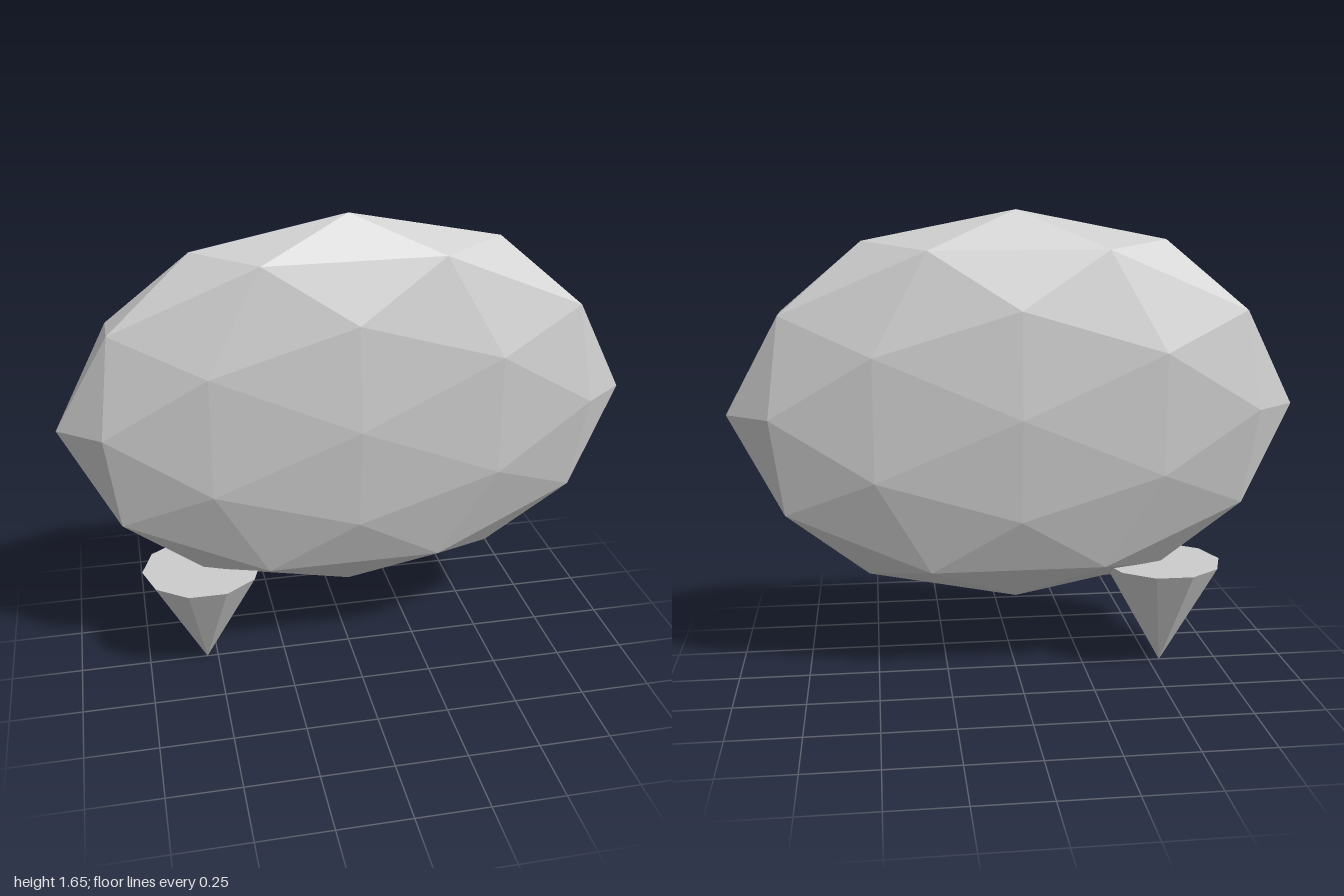
import * as THREE from 'three';

export function createModel() {
  const model = new THREE.Group();
  const paleGrey = new THREE.MeshStandardMaterial({ color: 0xcccccc, flatShading: true });
  paleGrey.name = 'paleGrey';

  const addPart = (name, geometry) => {
    geometry.computeVertexNormals();
    const mesh = new THREE.Mesh(geometry, paleGrey);
    mesh.name = name;
    model.add(mesh);
  };

  // Faceted, flattened oval bubble
  addPart('bubble', new THREE.IcosahedronGeometry(1, 1)
    .scale(1, 0.69, 0.23)
    .translate(0, 0.965, 0));

  // Ten-sided pointer with its tip on the ground and a closed top
  addPart('pointer', new THREE.ConeGeometry(0.215, 0.387, 10, 1, false, Math.PI / 10)
    .toNonIndexed()
    .rotateX(Math.PI)
    .translate(-0.54, 0.1935, 0));

  return model;
}
